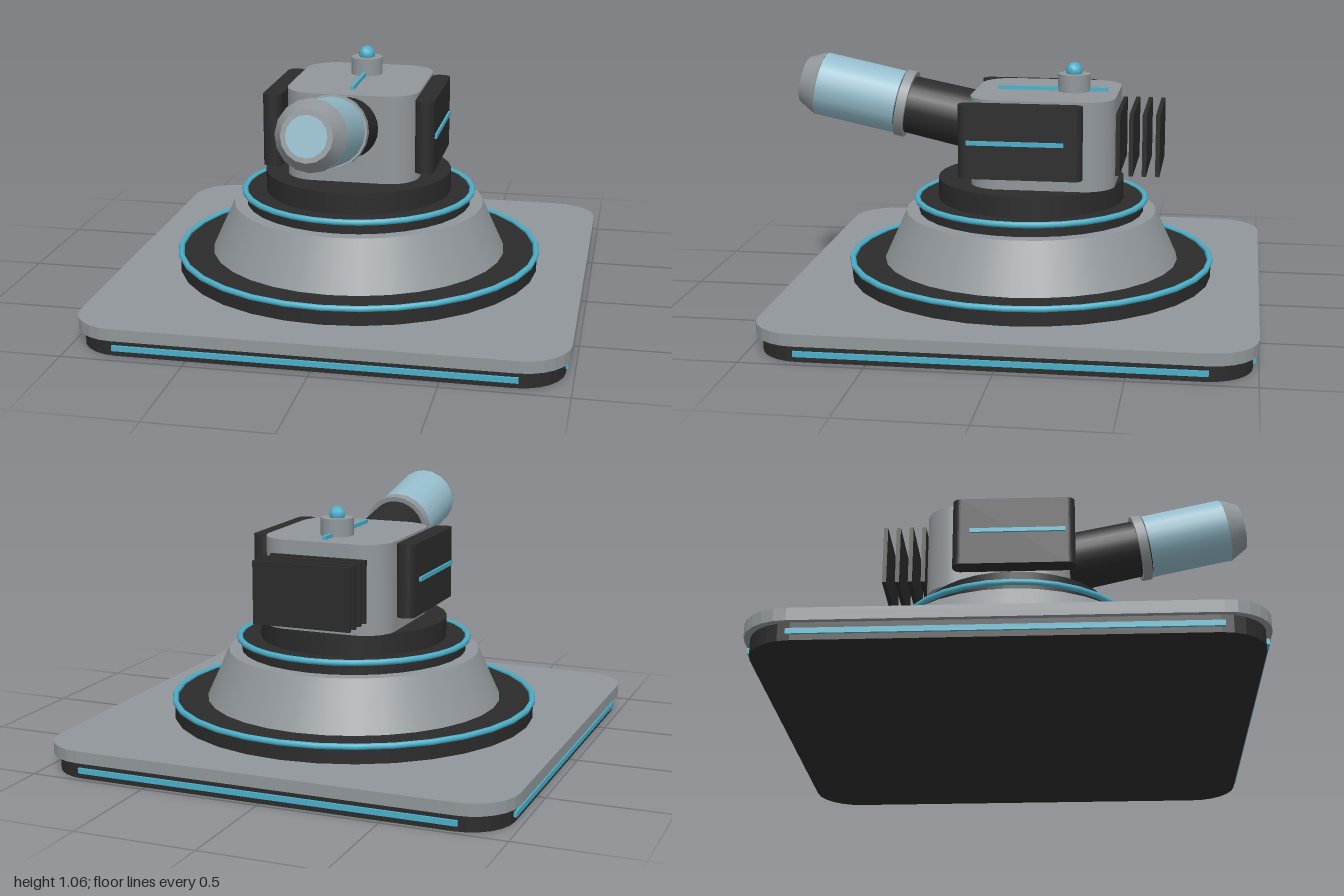
import * as THREE from 'three';
import { toCreasedNormals } from 'three/addons/utils/BufferGeometryUtils.js';

const material = (name, color) => {
  const m = new THREE.MeshStandardMaterial({ color });
  m.name = name;
  return m;
};

// Upright prism with a rounded rectangular footprint, standing on y = 0
function roundedPrism(width, depth, height, radius, segments, crease) {
  const x = width / 2, y = depth / 2, r = radius;
  const s = new THREE.Shape();
  s.absarc(x - r, y - r, r, 0, Math.PI / 2);
  s.absarc(r - x, y - r, r, Math.PI / 2, Math.PI);
  s.absarc(r - x, r - y, r, Math.PI, Math.PI * 1.5);
  s.absarc(x - r, r - y, r, Math.PI * 1.5, Math.PI * 2);
  const g = new THREE.ExtrudeGeometry(s, { depth: height, bevelEnabled: false, curveSegments: segments });
  g.rotateX(-Math.PI / 2);
  return crease ? toCreasedNormals(g, crease) : g;
}

export function createModel() {
  const grey = material('grey metal', 0x90969a);
  const dark = material('dark metal', 0x2b2b2b);
  const teal = material('teal light', 0x4bafc8);
  const glass = material('pale blue', 0x94bbca);

  const model = new THREE.Group();
  model.name = 'turret';
  const CZ = -0.013; // centre of the round base

  const add = (name, geometry, mat, x = 0, y = 0, z = 0, parent = model) => {
    const mesh = new THREE.Mesh(geometry, mat);
    mesh.name = name;
    mesh.position.set(x, y, z);
    parent.add(mesh);
    return mesh;
  };
  const box = (name, w, h, d, mat, x, y, z) => add(name, new THREE.BoxGeometry(w, h, d), mat, x, y, z);
  // Round part between two heights
  const round = (name, rBottom, rTop, y0, y1, mat, z = CZ, segments = 32, parent = model) =>
    add(name, new THREE.CylinderGeometry(rTop, rBottom, y1 - y0, segments), mat, 0, (y0 + y1) / 2, z, parent);
  const ring = (name, radius, y) =>
    add(name, new THREE.TorusGeometry(radius, 0.013, 8, 32).rotateX(Math.PI / 2), teal, 0, y, CZ);

  // Square base with a light strip on each side
  add('baseFoot', roundedPrism(1.93, 1.93, 0.07, 0.18, 3), dark, 0, 0, CZ);
  add('basePlate', roundedPrism(1.975, 1.975, 0.05, 0.19, 3), grey, 0, 0.07, CZ);
  for (const s of [-1, 1]) {
    box('baseStripZ', 1.6, 0.022, 0.018, teal, 0, 0.034, CZ + s * 0.966);
    box('baseStripX', 0.018, 0.022, 1.6, teal, s * 0.966, 0.034, CZ);
  }

  // Stepped pedestal
  round('lowerDisc', 0.78, 0.78, 0.12, 0.19, dark);
  ring('lowerRing', 0.777, 0.19);
  round('pedestal', 0.64, 0.54, 0.18, 0.4, grey);
  round('upperDisc', 0.485, 0.485, 0.4, 0.455, dark);
  ring('upperRing', 0.493, 0.452);
  round('turntable', 0.4, 0.4, 0.455, 0.545, dark);

  // Turret body and roof details
  add('body', roundedPrism(0.565, 0.61, 0.375, 0.13, 8, 0.6), grey, 0, 0.545, -0.083);
  box('roofStrip', 0.015, 0.018, 0.47, teal, 0, 0.927, -0.105);
  round('sensorMount', 0.069, 0.069, 0.915, 0.994, grey, -0.197, 16);
  add('sensor', new THREE.SphereGeometry(0.036, 8, 6), teal, 0, 1.006, -0.197);

  // Side pods
  for (const s of [-1, 1]) {
    add('sidePod', roundedPrism(0.08, 0.515, 0.305, 0.035, 4), dark, s * 0.322, 0.605, -0.01);
    box('podStrip', 0.016, 0.018, 0.4, teal, s * 0.363, 0.757, 0.007);
  }

  // Cooling fins at the back
  for (let i = 0; i < 4; i++) {
    box('coolingFin', 0.42, 0.26, 0.018, dark, 0, 0.732, -0.402 - i * 0.055);
  }

  // Barrel, built along its own axis with the muzzle at the origin
  const barrel = new THREE.Group();
  barrel.name = 'barrel';
  barrel.position.set(0, 0.942, 0.977);
  barrel.rotation.x = Math.PI / 2 - 0.21;
  model.add(barrel);
  round('barrelSleeve', 0.13, 0.123, -0.92, -0.42, dark, 0, 24, barrel);
  round('barrelCollar', 0.145, 0.145, -0.475, -0.435, grey, 0, 20, barrel);
  round('barrelTube', 0.137, 0.137, -0.428, -0.075, glass, 0, 20, barrel);
  round('muzzleCap', 0.14, 0.1, -0.077, 0, grey, 0, 16, barrel);
  round('muzzleLens', 0.08, 0.08, -0.003, 0.004, glass, 0, 16, barrel);

  return model;
}
